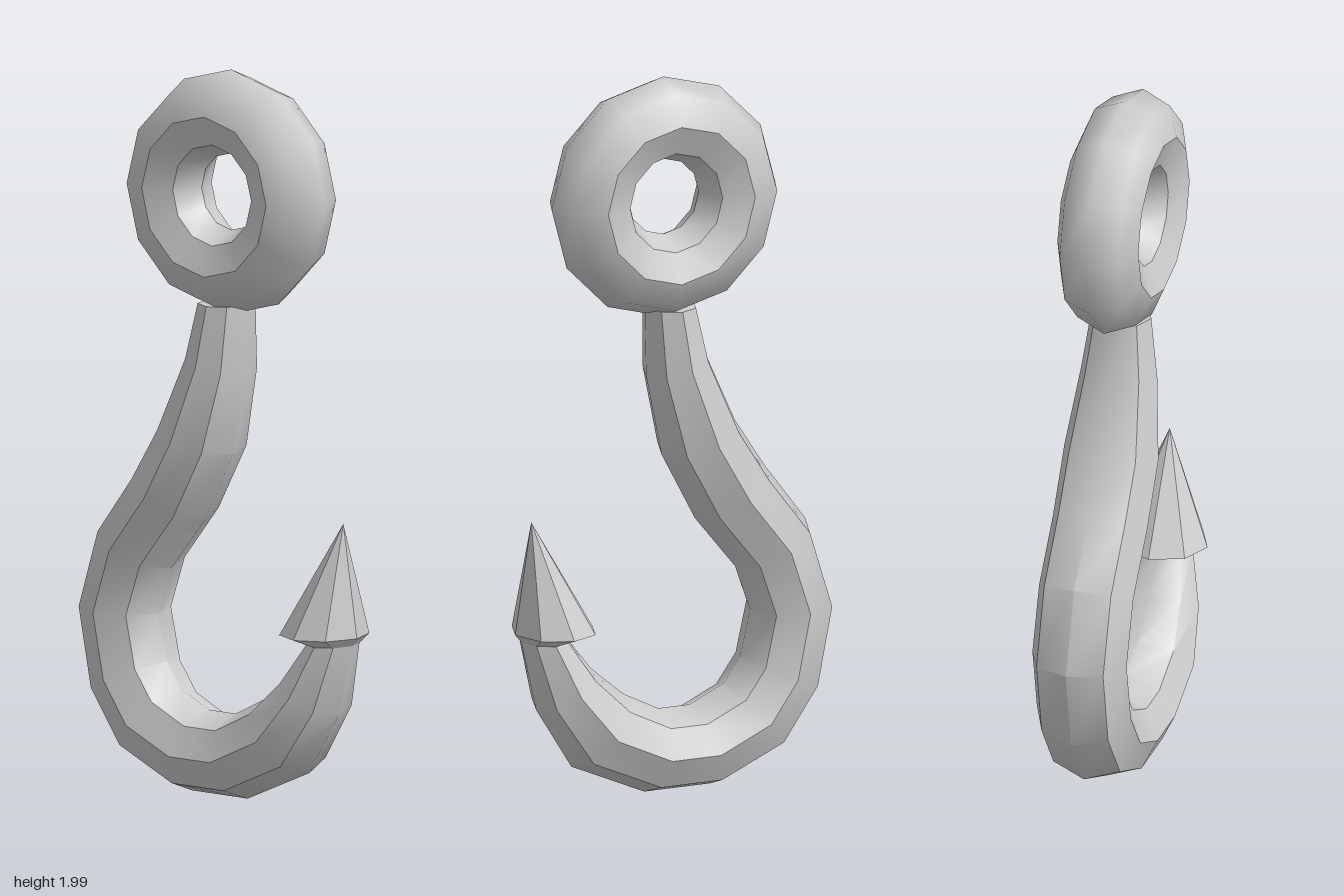
import * as THREE from 'three';
import { toCreasedNormals } from 'three/addons/utils/BufferGeometryUtils.js';

const SIDES = 8;

// Skin eight-sided sections, each given as [outer x, outer y, inner x, inner y, half depth]
function loft(sections, crease) {
  const pos = [], index = [];
  for (const [ox, oy, ix, iy, d] of sections) {
    for (let j = 0; j < SIDES; j++) {
      const a = (j / SIDES) * Math.PI * 2, c = Math.cos(a) / 2;
      pos.push((ox + ix) / 2 + c * (ox - ix), (oy + iy) / 2 + c * (oy - iy), d * Math.sin(a));
    }
  }
  for (let i = 0; i < sections.length - 1; i++) {
    for (let j = 0; j < SIDES; j++) {
      const a = i * SIDES + j, d = i * SIDES + (j + 1) % SIDES;
      const b = a + SIDES, c = d + SIDES;
      if (sections[i][4] > 0) index.push(a, b, d);
      if (sections[i + 1][4] > 0) index.push(b, c, d);
    }
  }
  const geo = new THREE.BufferGeometry();
  geo.setAttribute('position', new THREE.Float32BufferAttribute(pos, 3));
  geo.setIndex(index);
  return toCreasedNormals(geo, crease);
}

// Half of the eye ring's octagonal tube, swept around twelve sides
function ringHalf(startAngle) {
  const profile = [];
  for (let i = 0; i <= 4; i++) {
    const a = startAngle + (i * Math.PI) / 4;
    profile.push(new THREE.Vector2(0.22 + 0.115 * Math.cos(a), 0.115 * Math.sin(a)));
  }
  return new THREE.LatheGeometry(profile, 12).rotateX(Math.PI / 2);
}

export function createModel() {
  const group = new THREE.Group();
  const material = new THREE.MeshStandardMaterial({ color: 0xcccccc });
  const add = (name, geo, parent = group) => {
    const mesh = new THREE.Mesh(geo, material);
    mesh.name = name;
    parent.add(mesh);
    return mesh;
  };

  // Eye ring: smooth outside, creased inside
  const ring = new THREE.Group();
  ring.name = 'eyeRing';
  ring.position.set(0.024, 1.666, 0);
  add('ringOuter', ringHalf(-Math.PI / 2), ring);
  add('ringInner', toCreasedNormals(ringHalf(Math.PI / 2), 0.7), ring);
  group.add(ring);

  // Shank and bend, from the ring down and round to the barb
  add('hook', loft([
    [0.007, 1.36, 0.007, 1.36, 0],
    [-0.066, 1.36, 0.08, 1.36, 0.085],
    [-0.1, 1.215, 0.076, 1.17, 0.108],
    [-0.19, 1.015, 0.03, 0.945, 0.134],
    [-0.28, 0.877, -0.07, 0.755, 0.134],
    [-0.4, 0.718, -0.19, 0.607, 0.134],
    [-0.47, 0.49, -0.235, 0.48, 0.134],
    [-0.425, 0.257, -0.205, 0.352, 0.134],
    [-0.315, 0.098, -0.155, 0.283, 0.134],
    [-0.115, 0.008, -0.055, 0.236, 0.134],
    [0.082, 0.008, 0.04, 0.236, 0.134],
    [0.3, 0.103, 0.145, 0.289, 0.134],
    [0.405, 0.273, 0.24, 0.37, 0.115],
    [0.45, 0.468, 0.315, 0.465, 0.078],
  ], 0.73));

  // Pointed barb with a flared underside
  add('barb', loft([
    [0.45, 0.468, 0.315, 0.465, 0.078],
    [0.468, 0.49, 0.237, 0.49, 0.13],
    [0.42, 0.8, 0.42, 0.8, 0],
  ], 0.3));

  return group;
}
